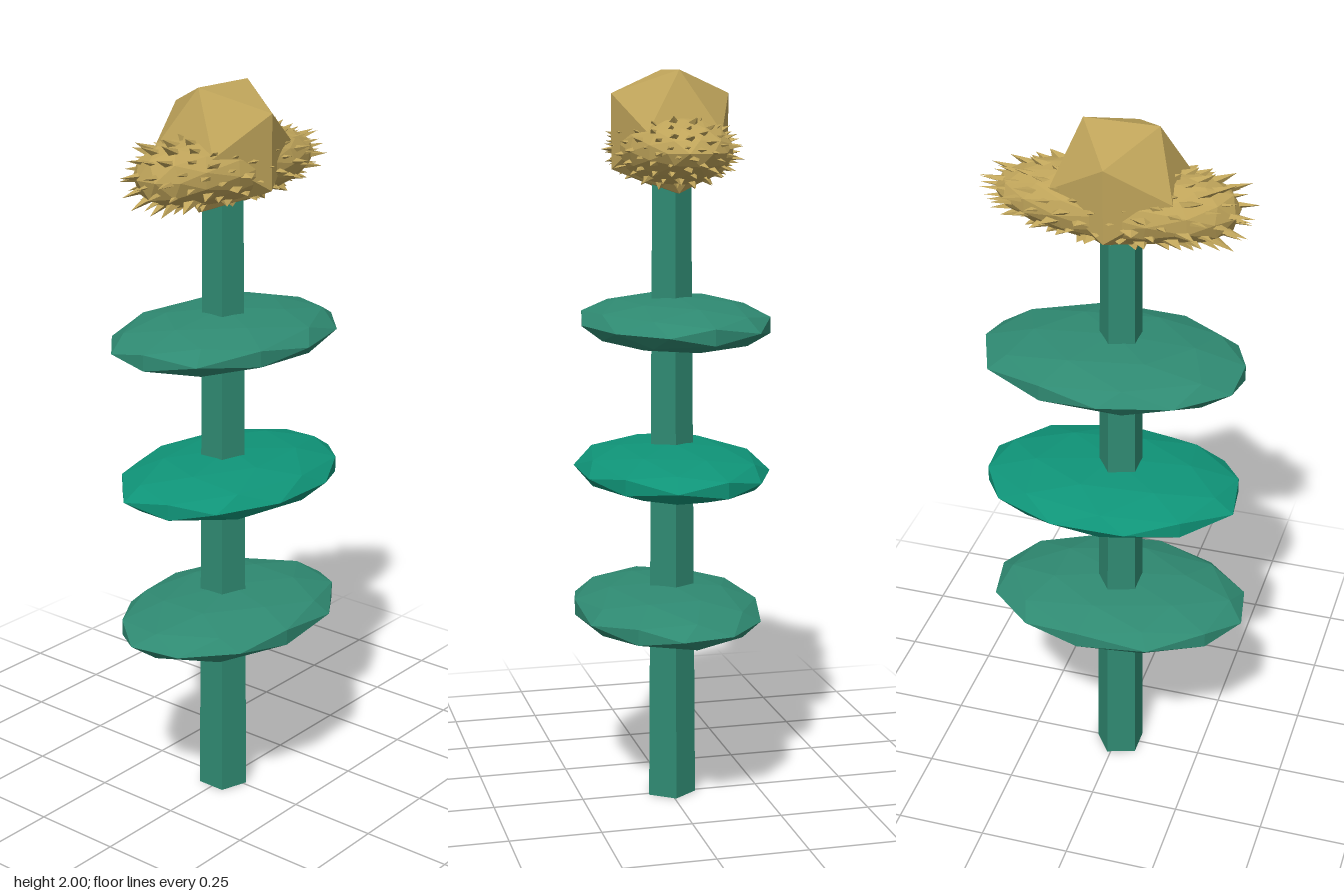
import * as THREE from 'three';
import { mergeGeometries } from 'three/addons/utils/BufferGeometryUtils.js';

const CX = -0.012, CZ = -0.004; // axis of the stem

function flat(color) {
  return new THREE.MeshStandardMaterial({ color, flatShading: true });
}

function part(name, geometry, material, x, y, z) {
  const mesh = new THREE.Mesh(geometry, material);
  mesh.name = name;
  mesh.position.set(x, y, z);
  return mesh;
}

// Spiky flower head: a core covered with four-sided spikes, squashed to an ellipsoid
function spikyHead(count, sx, sy, sz) {
  const pieces = [new THREE.IcosahedronGeometry(0.88, 2)];
  const up = new THREE.Vector3(0, 1, 0);
  for (let i = 0; i < count; i++) {
    const x = 1 - (2 * (i + 0.5)) / count;
    const r = Math.sqrt(1 - x * x), a = i * 2.39996;
    const dir = new THREE.Vector3(x, r * Math.cos(a), r * Math.sin(a));
    const tip = 1 + 0.035 * Math.sin(i * 1.7);
    const spike = new THREE.ConeGeometry(0.17, 0.4, 4, 1, true).toNonIndexed();
    spike.translate(0, tip - 0.2, 0);
    spike.applyQuaternion(new THREE.Quaternion().setFromUnitVectors(up, dir));
    pieces.push(spike);
  }
  const geometry = mergeGeometries(pieces);
  const p = geometry.attributes.position;
  for (let i = 0; i < p.count; i++) {
    // the -x end is blunter than the +x end
    const blunt = 1 + 1.5 * Math.max(0, -p.getX(i) - 0.5);
    p.setXYZ(i, p.getX(i) * sx, p.getY(i) * sy * blunt, p.getZ(i) * sz);
  }
  geometry.computeVertexNormals();
  return geometry;
}

export function createModel() {
  const group = new THREE.Group();
  const green = flat(0x2f8a72), brightGreen = flat(0x0f9478), gold = flat(0xbfa45a);

  // Five-sided tapering stem with one edge towards +x
  const stem = new THREE.CylinderGeometry(0.056, 0.07, 1.76, 5);
  stem.rotateY(Math.PI / 2);
  group.add(part('stem', stem, green, CX, 0.88, CZ));

  // Three flattened leaf discs: y, x offset, z offset, turn, material
  const leaves = [
    [0.54, -0.005, 0.012, 0.4, green],
    [0.935, 0.012, 0, 1.3, brightGreen],
    [1.333, 0.005, -0.012, 2.2, green],
  ];
  leaves.forEach(([y, x, z, turn, material], i) => {
    const leaf = new THREE.IcosahedronGeometry(1, 1);
    leaf.rotateY(turn);
    leaf.scale(0.37, 0.07, 0.26);
    leaf.computeVertexNormals();
    group.add(part('leaf' + (i + 1), leaf, material, x, y, z));
  });

  // Flower head and its faceted centre
  group.add(part('petals', spikyHead(170, 0.365, 0.107, 0.17), gold, 0, 1.792, CZ));
  group.add(part('flowerCentre', new THREE.IcosahedronGeometry(0.188, 0), gold, CX, 1.84, CZ));

  return group;
}
